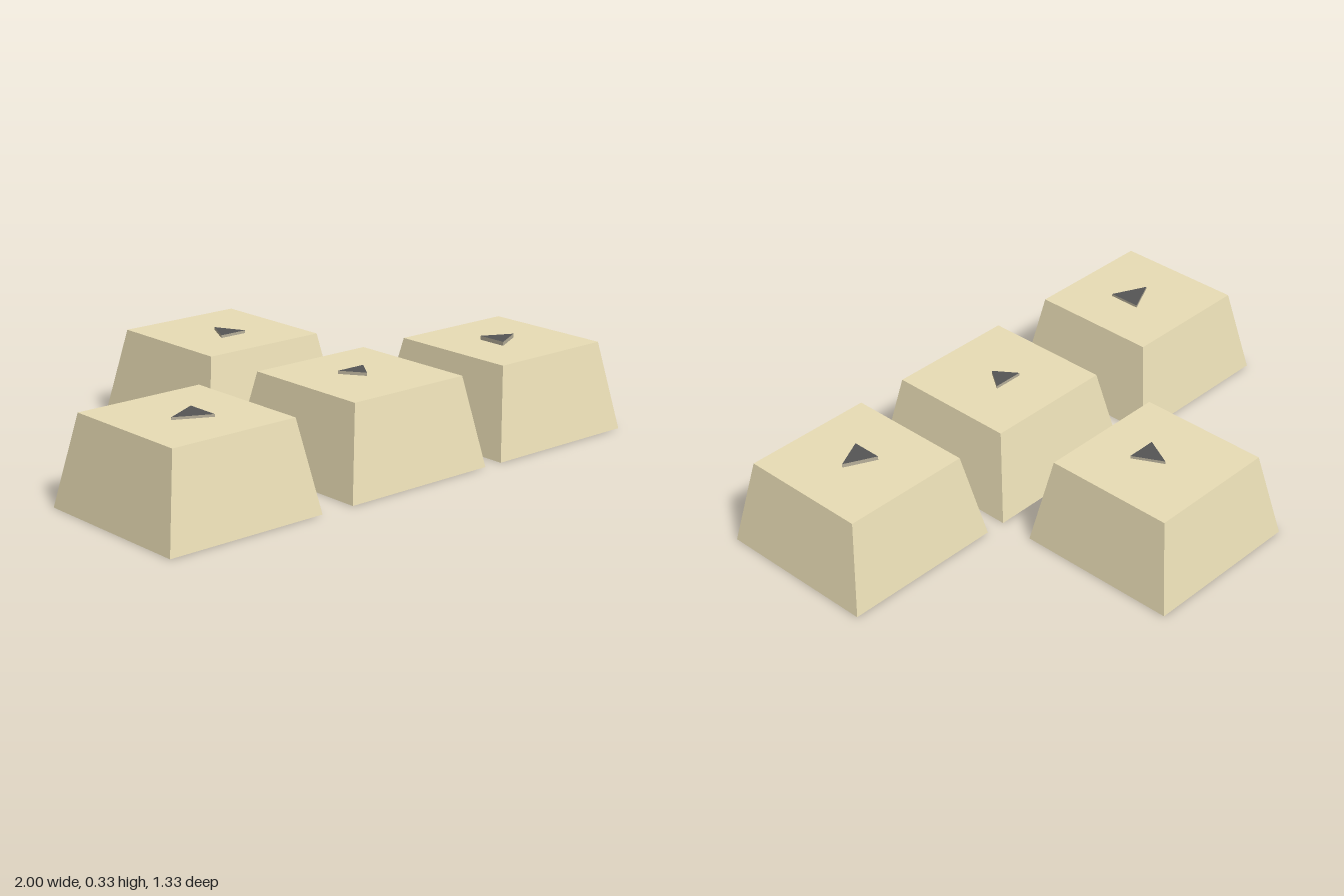
import * as THREE from 'three';

const HEIGHT = 0.315;

export function createModel() {
  const model = new THREE.Group();
  model.name = 'arrowKeys';

  const capMaterial = new THREE.MeshStandardMaterial({ color: 0xe9ddb5, flatShading: true });
  const arrowTop = new THREE.MeshStandardMaterial({ color: 0x555555, flatShading: true });
  const arrowSide = new THREE.MeshStandardMaterial({ color: 0xb8b09a, flatShading: true });

  // Tapered square keycap: 0.6 wide at the base, 0.48 at the top
  const capGeometry = new THREE.CylinderGeometry(0.24 * Math.SQRT2, 0.3 * Math.SQRT2, HEIGHT, 4)
    .rotateY(Math.PI / 4)
    .translate(0, HEIGHT / 2, 0);

  // Thin triangular plate pointing to -z, partly sunk into the cap
  function arrowGeometry(width, length, rise) {
    const triangle = new THREE.Shape([
      new THREE.Vector2(-width / 2, -length / 2),
      new THREE.Vector2(width / 2, -length / 2),
      new THREE.Vector2(0, length / 2),
    ]);
    return new THREE.ExtrudeGeometry(triangle, { depth: rise + 0.01, bevelEnabled: false })
      .rotateX(-Math.PI / 2)
      .translate(0, HEIGHT - 0.01, 0);
  }

  // Key position, then arrow heading, size and offset from the key's centre
  const keys = [
    { name: 'up', x: 0.025, z: -0.365, turn: 0, width: 0.108, length: 0.106, rise: 0.01, dx: -0.003, dz: 0.017 },
    { name: 'left', x: -0.7, z: 0.357, turn: Math.PI / 2, width: 0.12, length: 0.124, rise: 0.009, dx: -0.007, dz: 0.013 },
    { name: 'down', x: 0.025, z: 0.36, turn: Math.PI, width: 0.112, length: 0.08, rise: 0.011, dx: 0, dz: -0.003 },
    { name: 'right', x: 0.697, z: 0.362, turn: -Math.PI / 2, width: 0.11, length: 0.11, rise: 0.014, dx: 0.003, dz: 0.007 },
  ];

  for (const k of keys) {
    const key = new THREE.Group();
    key.name = k.name + 'Key';
    key.position.set(k.x, 0, k.z);

    const cap = new THREE.Mesh(capGeometry, capMaterial);
    cap.name = k.name + 'Keycap';

    const arrow = new THREE.Mesh(arrowGeometry(k.width, k.length, k.rise), [arrowTop, arrowSide]);
    arrow.name = k.name + 'Arrow';
    arrow.rotation.y = k.turn;
    arrow.position.set(k.dx, 0, k.dz);

    key.add(cap, arrow);
    model.add(key);
  }
  return model;
}
